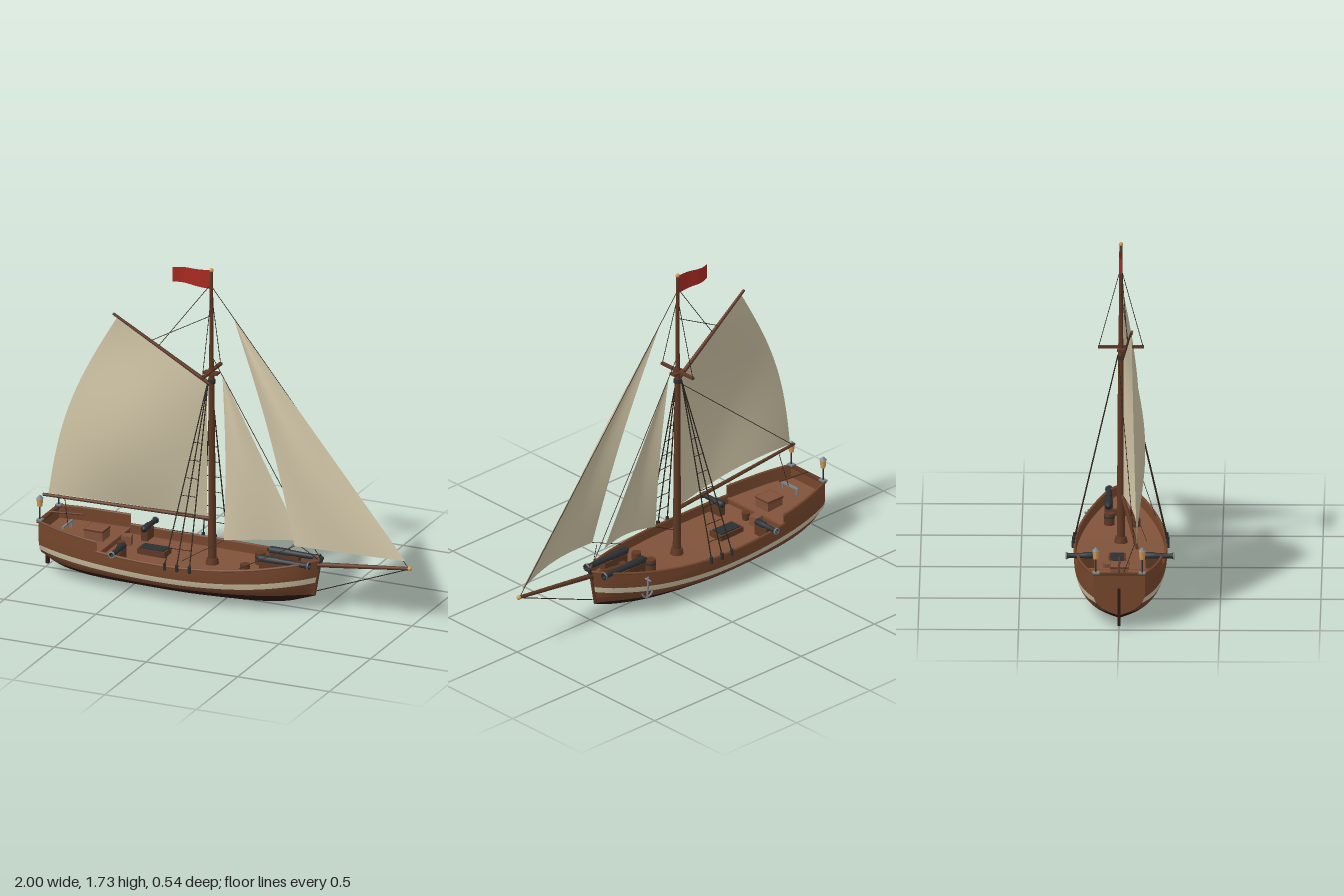
import * as THREE from 'three';

const mat = (name, color, side = THREE.FrontSide) => {
  const m = new THREE.MeshStandardMaterial({ color, side });
  m.name = name;
  return m;
};
const V = (x, y, z = 0) => new THREE.Vector3(x, y, z);
const { lerp, clamp, smoothstep } = THREE.MathUtils;

// Smooth curve through [x, value] pairs
const curve = (pairs) => {
  const it = new THREE.CubicInterpolant(pairs.map(p => p[0]), pairs.map(p => p[1]), 1);
  return (x) => it.evaluate(clamp(x, pairs[0][0], pairs.at(-1)[0]))[0];
};

// Surface from a rule fn(u, v) -> Vector3
const grid = (nu, nv, fn) => {
  const pos = [], idx = [];
  for (let j = 0; j <= nv; j++)
    for (let i = 0; i <= nu; i++) pos.push(...fn(i / nu, j / nv).toArray());
  for (let j = 0; j < nv; j++)
    for (let i = 0; i < nu; i++) {
      const a = j * (nu + 1) + i, b = a + 1, c = a + nu + 1, d = c + 1;
      idx.push(a, b, d, a, d, c);
    }
  const g = new THREE.BufferGeometry();
  g.setAttribute('position', new THREE.Float32BufferAttribute(pos, 3));
  g.setIndex(idx);
  g.computeVertexNormals();
  return g;
};

export function createModel() {
  const D = THREE.DoubleSide;
  const hullM = mat('hull wood', 0x75462c, D), bottomM = mat('bottom paint', 0x2c1815, D);
  const sailM = mat('canvas', 0xcbc0a2, D), deckM = mat('deck wood', 0x80523a, D);
  const sparM = mat('spar wood', 0x5e3824), ironM = mat('black iron', 0x2c3033);
  const flagM = mat('red cloth', 0xa82a22, D), amberM = mat('amber', 0xd09c55);
  const steelM = mat('grey steel', 0x7a848c), ropeM = mat('tarred rope', 0x2c241d);

  const root = new THREE.Group();
  root.name = 'sailingBoat';
  const add = (name, geo, m, p = V(0, 0), parent = root) => {
    const mesh = new THREE.Mesh(geo, m);
    mesh.name = name;
    mesh.position.copy(p);
    parent.add(mesh);
    return mesh;
  };
  const box = (name, m, w, h, d, x, y, z, parent) => add(name, new THREE.BoxGeometry(w, h, d), m, V(x, y, z), parent);
  const cyl = (name, m, r0, r1, h, x, y, z, n = 12, parent) => add(name, new THREE.CylinderGeometry(r1, r0, h, n), m, V(x, y, z), parent);
  const rod = (name, m, a, b, r0, r1 = r0, n = 10) => {
    const d = b.clone().sub(a);
    const mesh = add(name, new THREE.CylinderGeometry(r1, r0, d.length(), n), m, a.clone().lerp(b, 0.5));
    mesh.quaternion.setFromUnitVectors(V(0, 1), d.normalize());
    return mesh;
  };
  const rope = (name, a, b, r = 0.0018) => rod(name, ropeM, a, b, r, r, 5);

  // Hull lines: half breadth, sheer and keel along the length
  const STERN = -0.98, BREAK = -0.63, BOW = 0.5;
  const beam = curve([[-0.98, 0.13], [-0.85, 0.172], [-0.65, 0.21], [-0.35, 0.232], [-0.1, 0.225], [0.15, 0.18], [0.35, 0.11], [0.45, 0.055], [0.5, 0.004]]);
  const sheer = curve([[-0.98, 0.235], [-0.63, 0.21], [-0.3, 0.2], [0, 0.207], [0.25, 0.23], [0.5, 0.27]]);
  const keel = curve([[-0.98, 0.068], [-0.9, 0.03], [-0.8, 0.008], [-0.4, 0], [0, 0], [0.2, 0.006], [0.35, 0.03], [0.5, 0.076]]);
  const stripeLow = curve([[-0.98, 0.132], [-0.6, 0.114], [-0.2, 0.106], [0.15, 0.116], [0.5, 0.15]]);
  const stripeTop = (x) => stripeLow(x) + 0.03;
  const quarter = (x) => sheer(x) + 0.05;
  const water = () => 0.08;
  const deckY = (x) => sheer(x) - 0.045;
  const poopY = (x) => sheer(x) - 0.015;
  const skin = (x, y, side, inset = 0) => {
    const t = clamp((y - keel(x)) / (sheer(x) - keel(x)), 0, 1);
    const w = beam(x) * (1 - Math.pow(1 - t, 4));
    return V(x + 0.03 * (t - 1) * smoothstep(x, 0.2, BOW), y, side * Math.max(w - inset, 0));
  };
  const hull = new THREE.Group();
  hull.name = 'hull';
  root.add(hull);
  const band = (name, m, low, high, x0, x1, rows, inset = 0) => {
    for (const s of [-1, 1])
      add(name, grid(56, rows, (u, v) => {
        const x = lerp(x0, x1, u);
        return skin(x, lerp(low(x), high(x), v), s, inset);
      }), m, undefined, hull);
  };
  band('bottomPlanking', bottomM, keel, water, STERN, BOW, 10);
  band('lowerTopside', hullM, water, stripeLow, STERN, BOW, 4);
  band('paintedStripe', sailM, stripeLow, stripeTop, STERN, BOW, 2);
  band('upperTopside', hullM, stripeTop, sheer, STERN, BOW, 4);
  band('quarterBulwark', hullM, sheer, quarter, STERN, BREAK, 1);
  band('innerBulwark', hullM, deckY, sheer, BREAK, BOW, 2, 0.012);
  band('innerQuarterBulwark', hullM, poopY, quarter, STERN, BREAK, 2, 0.012);
  const across = (name, m, fn, x0, x1) => add(name, grid(40, 2, (u, v) => {
    const x = lerp(x0, x1, u), y = fn(x);
    const p = skin(x, y, 1, 0.005);
    p.z *= 1 - 2 * v;
    return p;
  }), m, undefined, hull);
  across('mainDeck', deckM, deckY, BREAK, BOW);
  across('quarterDeck', deckM, poopY, STERN, BREAK);

  // Flat ends: transom, and the step at the quarterdeck
  const wall = (name, m, x, y0, y1) => add(name, grid(2, 12, (u, v) => {
    const p = skin(x, lerp(y0, y1, v), 1);
    p.z *= 1 - 2 * u;
    return p;
  }), m, undefined, hull);
  wall('transom', hullM, STERN, keel(STERN), quarter(STERN));
  wall('quarterdeckStep', hullM, BREAK, deckY(BREAK), poopY(BREAK));
  box('stepTrim', deckM, 0.012, 0.008, 0.4, BREAK, poopY(BREAK), 0, hull);

  // Cap rails
  for (const s of [-1, 1])
    for (const [fn, x0, x1] of [[sheer, BREAK, BOW], [quarter, STERN, BREAK]]) {
      const pts = Array.from({ length: 17 }, (_, i) => skin(lerp(x0, x1, i / 16), fn(lerp(x0, x1, i / 16)), s, 0.005));
      add('capRail', new THREE.TubeGeometry(new THREE.CatmullRomCurve3(pts), 48, 0.0075, 6), hullM, undefined, hull);
    }
  box('sternRail', sparM, 0.022, 0.012, 0.26, STERN, quarter(STERN), 0, hull);
  rod('stemPost', sparM, V(0.465, 0.08), V(0.498, 0.265), 0.009);
  rod('bowBitt', ironM, V(0.488, 0.225), V(0.51, 0.288), 0.01);

  // Steering gear
  box('rudder', bottomM, 0.018, 0.19, 0.014, -0.99, 0.115, 0);
  rod('tiller', sparM, V(-0.98, 0.295), V(-0.79, 0.31), 0.005);

  // Spars
  rod('lowerMast', sparM, V(-0.09, 0.15), V(-0.095, 1.2), 0.021, 0.014, 16);
  rod('topmast', sparM, V(-0.095, 1.18), V(-0.095, 1.72), 0.012, 0.008, 12);
  add('mastCap', new THREE.SphereGeometry(0.011, 12, 8), amberM, V(-0.095, 1.722));
  cyl('mastCollar', sparM, 0.034, 0.028, 0.03, -0.09, 0.175, 0, 16);
  cyl('mastBand', ironM, 0.019, 0.019, 0.02, -0.094, 1.13, 0, 16);
  box('crosstree', sparM, 0.018, 0.012, 0.23, -0.095, 1.185, 0);
  box('trestleTree', sparM, 0.075, 0.012, 0.036, -0.095, 1.175, 0);
  rod('gaff', sparM, V(-0.1, 1.12, 0.012), V(-0.605, 1.432, 0.06), 0.011, 0.007);
  rod('boom', sparM, V(-0.1, 0.402, 0.01), V(-0.975, 0.42, 0.09), 0.011, 0.008);
  rod('bowsprit', sparM, V(0.3, 0.222), V(0.985, 0.301), 0.015, 0.009, 12);
  add('bowspritCap', new THREE.SphereGeometry(0.012, 12, 8), amberM, V(0.988, 0.301));

  // Sails: four corners, a belly towards +z and a rounded leech
  const sail = (name, topA, topB, footA, footB, belly, roach, footBelly) =>
    add(name, grid(20, 24, (u, v) => {
      const p = topA.clone().lerp(footA, v).lerp(topB.clone().lerp(footB, v), u);
      p.z += belly * Math.sin(Math.PI * u) * Math.sin(Math.PI * v * footBelly);
      p.x += roach * (1 - u) * Math.sin(Math.PI * v);
      p.y += 0.012 * Math.sin(Math.PI * u) * v;
      return p;
    }), sailM);
  sail('mainsail', V(-0.585, 1.412, 0.058), V(-0.115, 1.115, 0.012), V(-0.945, 0.43, 0.088), V(-0.115, 0.412, 0.012), 0.08, -0.07, 0.9);
  sail('staysail', V(-0.035, 1.17), V(-0.033, 1.168), V(0, 0.318, 0.06), V(0.4, 0.36, 0.005), 0.04, 0.012, 0.8);
  sail('jib', V(0.028, 1.48), V(0.03, 1.478), V(0.4, 0.362, 0.092), V(0.965, 0.337), 0.05, 0.025, 0.8);

  // Flag
  add('flag', grid(16, 3, (u, v) => V(-0.1 - 0.205 * u,
    lerp(lerp(1.62, 1.632, u), lerp(1.72, 1.708, u), v), 0.012 * Math.sin(u * 7) * u)), flagM);

  // Stays and running rigging
  rope('topmastStay', V(-0.09, 1.63), V(0.975, 0.31));
  rope('forestay', V(-0.09, 1.26), V(0.5, 0.275));
  rope('bobstay', V(0.975, 0.295), V(0.47, 0.1), 0.0025);
  rope('peakHalyard', V(-0.095, 1.65), V(-0.37, 1.285, 0.036));
  rope('lowerHalyard', V(-0.095, 1.48), V(-0.41, 1.31, 0.04));
  rope('toppingLift', V(-0.1, 1.12, -0.012), V(-0.95, 0.43, 0.075));
  rope('mainsheet', V(-0.86, 0.415, 0.08), V(-0.87, 0.25, 0.02));
  rope('boomEndLine', V(-0.945, 0.43, 0.088), V(-0.975, 0.42, 0.09));
  rope('jibSheet', V(0.4, 0.362, 0.092), V(0.13, 0.225, 0.17));
  rope('jibTackLine', V(0.4, 0.362, 0.06), V(0.49, 0.27));
  rope('staysailSheet', V(0, 0.318, 0.06), V(-0.2, 0.2, 0.13));

  // Shrouds, deadeyes and ratlines on both sides
  for (const s of [-1, 1]) {
    const feet = [-0.245, -0.18, -0.112];
    const low = feet.map(x => V(x, 0.205, s * (beam(x) + 0.002)));
    const top = V(-0.105, 1.14, s * 0.016);
    for (const p of low) {
      rope('shroud', p, top, 0.0032);
      cyl('deadeye', ironM, 0.009, 0.009, 0.035, p.x, 0.2, p.z, 8);
    }
    for (let i = 1; i <= 7; i++) {
      const t = i * 0.095;
      rope('ratline', low[0].clone().lerp(top, t), low[2].clone().lerp(top, t));
    }
    rope('topmastShroud', V(-0.095, 1.6), V(-0.095, 1.188, s * 0.11));
  }

  // Cannon pointing along +x before turning
  const gun = (name, length, r, x, y, z, turn, drop) => {
    const g = new THREE.Group();
    g.name = name;
    const pts = [[0, -0.54], [0.4, -0.53], [0.4, -0.5], [1, -0.47], [1, -0.1], [0.8, -0.08], [0.68, 0.4], [0.95, 0.46], [0.95, 0.5], [0.5, 0.5], [0.45, 0.4], [0, 0.4]]
      .map(([a, b]) => new THREE.Vector2(a * r, b * length));
    add('barrel', new THREE.LatheGeometry(pts, 16).rotateZ(-Math.PI / 2), ironM, undefined, g);
    add('muzzleRing', new THREE.TorusGeometry(r * 0.8, r * 0.25, 6, 16).rotateY(Math.PI / 2), steelM, V(length * 0.48, 0), g);
    box('carriage', sparM, length * 0.55, drop, r * 2, -length * 0.18, -drop / 2 - r * 0.5, 0, g);
    g.position.set(x, y, z);
    g.rotation.y = turn;
    root.add(g);
  };
  for (const s of [-1, 1]) {
    gun('sideGun', 0.15, 0.018, -0.52, 0.23, s * 0.195, -s * Math.PI / 2, 0.055);
    gun('bowGun', 0.28, 0.02, 0.33, 0.255, s * 0.065, 0, 0.05);

    // Stern lanterns
    cyl('lanternPost', ironM, 0.004, 0.004, 0.09, STERN, 0.325, s * 0.115, 8);
    cyl('lanternGlass', amberM, 0.013, 0.017, 0.042, STERN, 0.385, s * 0.115, 6);
    cyl('lanternRoof', steelM, 0.02, 0.003, 0.018, STERN, 0.415, s * 0.115, 6);
    box('lanternBracket', steelM, 0.028, 0.008, 0.035, STERN, 0.292, s * 0.115);
  }

  // Deck furniture
  box('hatchCoaming', sparM, 0.15, 0.03, 0.085, -0.415, 0.17, -0.015);
  box('hatchGrating', ironM, 0.13, 0.008, 0.066, -0.415, 0.187, -0.015);
  box('chest', deckM, 0.1, 0.055, 0.09, -0.72, 0.225, 0);
  box('chestLid', sparM, 0.106, 0.008, 0.096, -0.72, 0.248, 0);
  box('smallCrate', deckM, 0.05, 0.05, 0.05, -0.58, 0.19, -0.055).rotation.y = 0.2;
  cyl('bucket', sparM, 0.018, 0.022, 0.04, -0.58, 0.185, 0.02);
  cyl('cask', sparM, 0.026, 0.026, 0.06, 0.145, 0.205, -0.06, 16);
  cyl('caskHoop', ironM, 0.0275, 0.0275, 0.008, 0.145, 0.215, -0.06, 16);
  cyl('shortCask', sparM, 0.024, 0.024, 0.04, 0.12, 0.195, 0.07, 16);
  box('windlassBeam', sparM, 0.03, 0.03, 0.12, 0.25, 0.205, 0);
  box('pinRail', steelM, 0.01, 0.01, 0.12, -0.875, 0.25, 0.015);
  for (const z of [-0.035, 0.065]) cyl('pinRailPost', steelM, 0.005, 0.005, 0.035, -0.875, 0.232, z, 8);

  // Anchor hanging on the right bow
  const az = -beam(0.26) - 0.014;
  rod('anchorShank', steelM, V(0.26, 0.1, az), V(0.26, 0.215, az - 0.004), 0.005);
  rod('anchorStock', steelM, V(0.26, 0.2, az - 0.025), V(0.26, 0.2, az + 0.02), 0.005);
  const arms = add('anchorArms', new THREE.TorusGeometry(0.035, 0.005, 6, 16, Math.PI), steelM, V(0.26, 0.137, az));
  arms.rotation.z = Math.PI;

  return root;
}
